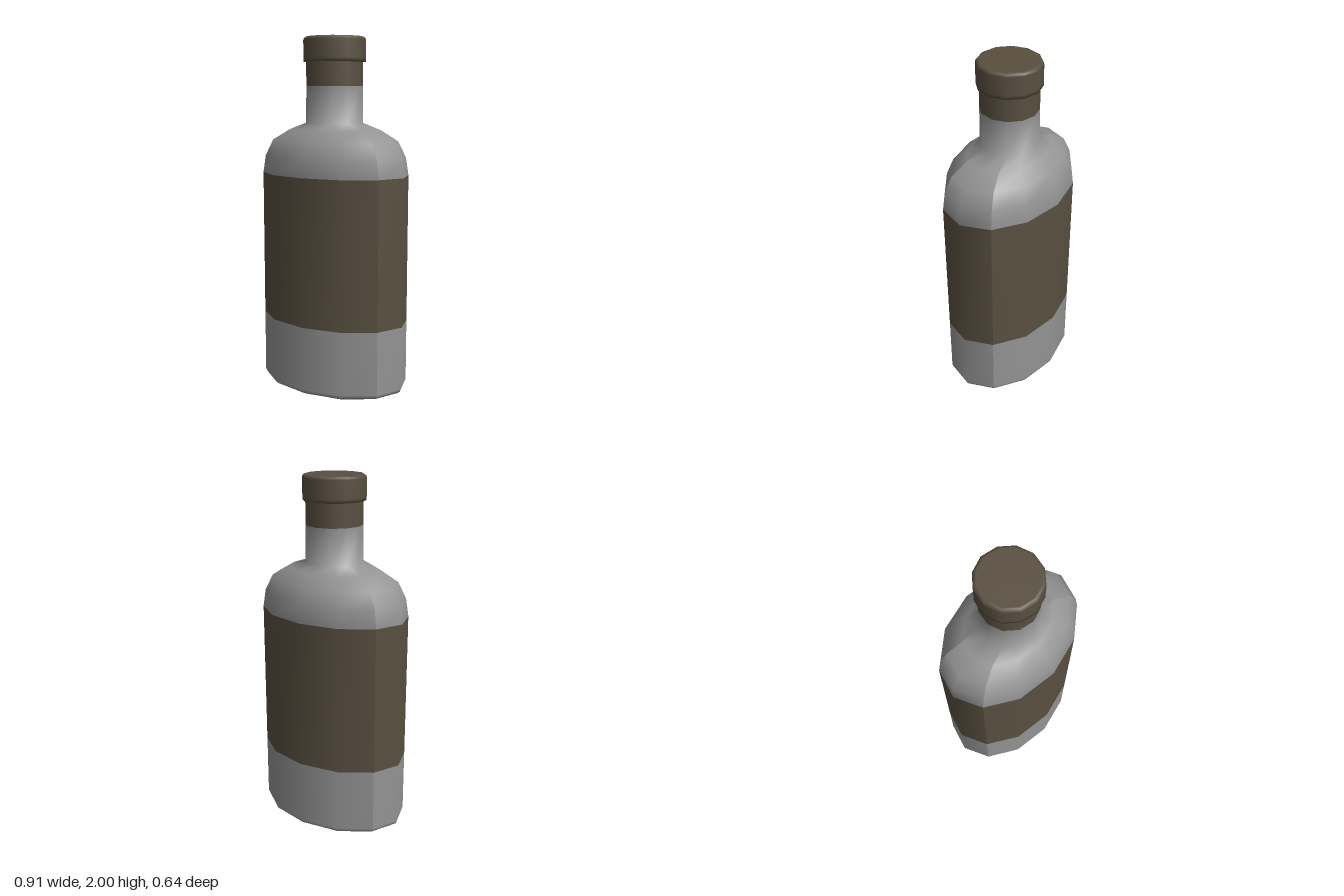
import * as THREE from 'three';
import { mergeGeometries } from 'three/addons/utils/BufferGeometryUtils.js';

// Rings of the bottle from the middle of the base to the mouth: height, half width, half depth
const RINGS = [
  [0, 0, 0], [0, 0.432, 0.299], [0.01, 0.448, 0.313], [0.03, 0.457, 0.321],
  [0.39, 0.457, 0.321], [1.23, 0.457, 0.321],
  [1.33, 0.44, 0.31], [1.42, 0.392, 0.275], [1.48, 0.285, 0.207],
  [1.52, 0.163, 0.163], [1.727, 0.161, 0.161], [1.862, 0.161, 0.161],
];
const NECK = 9; // ring where the round neck starts
const STEP = Math.PI / 6; // twelve sides

// Panels between the four hard vertical edges, as column ranges
const PANELS = [[-1, 1], [1, 5], [5, 7], [7, 11]];

// Smooth surface of one panel over all rings
function panelSurface([from, to]) {
  const position = [];
  const cols = to - from + 1;
  for (const [y, a, b] of RINGS) {
    for (let k = from; k <= to; k++) {
      position.push(a * Math.cos(k * STEP), y, b * Math.sin(k * STEP));
    }
  }
  const geometry = new THREE.BufferGeometry();
  geometry.setAttribute('position', new THREE.Float32BufferAttribute(position, 3));
  geometry.setIndex(quadIndex(cols, 0, RINGS.length - 1));
  geometry.computeVertexNormals();

  // The neck is round, so its normals run smoothly across the panel edges
  const n = new THREE.Vector3();
  for (let i = NECK; i < RINGS.length; i++) {
    for (let j = 0; j < cols; j++) {
      const angle = (from + j) * STEP;
      n.set(Math.cos(angle), i === NECK ? 0.6 : 0, Math.sin(angle)).normalize();
      geometry.attributes.normal.setXYZ(i * cols + j, n.x, n.y, n.z);
    }
  }
  return { geometry, cols };
}

function quadIndex(cols, first, last) {
  const index = [];
  for (let i = first; i < last; i++) {
    for (let j = 0; j < cols - 1; j++) {
      const a = i * cols + j;
      const b = a + cols;
      // The first row closes to a point, so it needs one triangle per side
      if (i > 0) index.push(a + 1, a, b);
      index.push(a + 1, b, b + 1);
    }
  }
  return index;
}

export function createModel() {
  const model = new THREE.Group();
  model.name = 'bottle';
  const glass = new THREE.MeshStandardMaterial({ color: 0x949494 });
  const brown = new THREE.MeshStandardMaterial({ color: 0x594f40 });

  const add = (name, geometry, material) => {
    const mesh = new THREE.Mesh(geometry, material);
    mesh.name = name;
    model.add(mesh);
  };

  // Horizontal bands of the same surface: name, first ring, last ring, material
  const surfaces = PANELS.map(panelSurface);
  const bands = [
    ['lowerBody', 0, 4, glass],
    ['label', 4, 5, brown],
    ['shoulderAndNeck', 5, 10, glass],
    ['neckSeal', 10, 11, brown],
  ];
  for (const [name, first, last, material] of bands) {
    const parts = surfaces.map(({ geometry, cols }) => {
      const part = geometry.clone();
      part.setIndex(quadIndex(cols, first, last));
      return part;
    });
    add(name, mergeGeometries(parts), material);
  }

  // Stopper with a soft lower lip and a small bevel round the top
  const profile = [
    [0.155, 1.86], [0.177, 1.861], [0.177, 1.88], [0.177, 1.983],
    [0.173, 1.993], [0.163, 2], [0.155, 2], [0, 2],
  ].map(([r, y]) => new THREE.Vector2(r, y));
  add('cap', new THREE.LatheGeometry(profile, 12), brown);

  return model;
}
